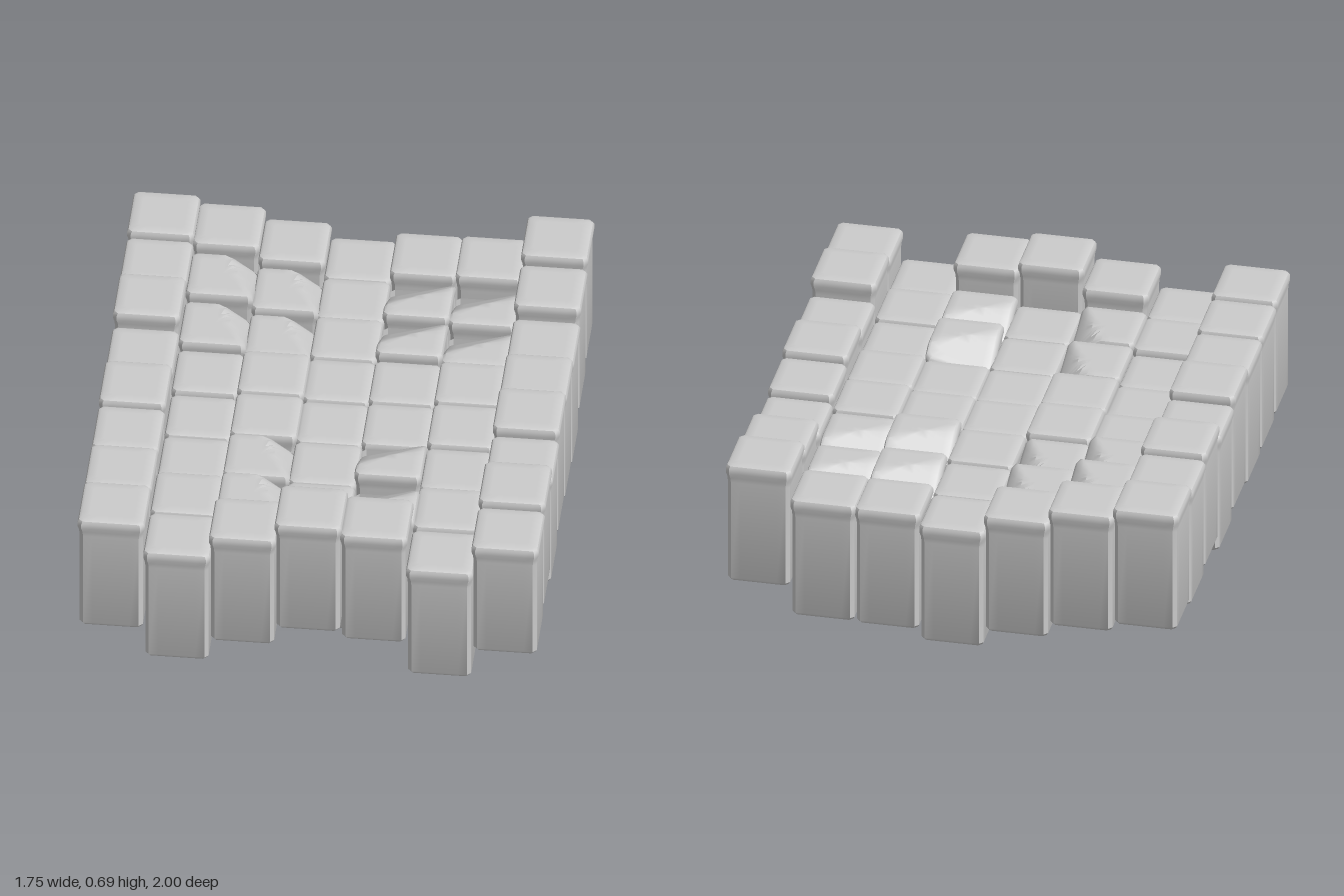
import * as THREE from 'three';
import { toCreasedNormals } from 'three/addons/utils/BufferGeometryUtils.js';

const PITCH = 0.249, HEIGHT = 0.5;

// top height of every block: rows run back to front, columns from -x to +x
const TOPS = [
  [0.69, 0.655, 0.60, 0.53, 0.575, 0.58, 0.70],
  [0.66, 0.61, 0.56, 0.53, 0.57, 0.55, 0.655],
  [0.685, 0.57, 0.53, 0.54, 0.58, 0.55, 0.59],
  [0.62, 0.53, 0.55, 0.53, 0.54, 0.56, 0.62],
  [0.655, 0.51, 0.54, 0.52, 0.53, 0.55, 0.65],
  [0.63, 0.505, 0.54, 0.52, 0.58, 0.53, 0.61],
  [0.64, 0.53, 0.55, 0.52, 0.56, 0.54, 0.685],
  [0.655, 0.525, 0.62, 0.70, 0.67, 0.525, 0.655],
];

// blocks whose top is cut by a sloping facet
const SLOPED = { 1: [1, 2, 4, 5], 2: [1, 2, 4, 5], 5: [2, 4], 6: [2, 4] };

// [half width, y below the top], from the open bottom up over the wider cap
const PROFILE = [
  [0.113, -HEIGHT], [0.12, -HEIGHT + 0.012], [0.12, -0.075], [0.122, -0.055],
  [0.127, -0.035], [0.127, -0.016], [0.122, -0.005], [0.113, 0],
  [0.085, 0], [0.055, 0], [0.025, 0], [0, 0],
];

// square outline with clipped corners and extra points along each side
function outline(half) {
  const pts = [], flat = half * 0.88;
  for (let side = 0; side < 4; side++) {
    const c = Math.round(Math.cos(side * Math.PI / 2));
    const s = Math.round(Math.sin(side * Math.PI / 2));
    for (let i = 0; i <= 6; i++) {
      const t = flat * (i / 3 - 1);
      pts.push([c * half - s * t, s * half + c * t]);
    }
  }
  return pts;
}

const noDrop = () => 0;
const dropLeft = (x, z) => 0.75 * Math.max(0, x - 0.4 * z - 0.06);
const dropRight = (x, z) => 0.6 * Math.max(0, -0.5 * x - z);

// open-bottomed block with a cap, its top at y = 0
function blockGeometry(drop) {
  const positions = [], indices = [];
  const n = outline(1).length;
  for (const [half, y] of PROFILE) {
    for (const [x, z] of outline(half)) {
      positions.push(x, y > -0.06 ? y - drop(x, z) : y, z);
    }
  }
  for (let r = 0; r < PROFILE.length - 1; r++) {
    for (let i = 0; i < n; i++) {
      const a = r * n + i, b = r * n + (i + 1) % n;
      indices.push(a, a + n, b);
      if (r < PROFILE.length - 2) indices.push(b, a + n, b + n);
    }
  }
  const geometry = new THREE.BufferGeometry();
  geometry.setAttribute('position', new THREE.Float32BufferAttribute(positions, 3));
  geometry.setIndex(indices);
  return toCreasedNormals(geometry, 0.6);
}

export function createModel() {
  const model = new THREE.Group();
  model.name = 'blockField';
  const material = new THREE.MeshStandardMaterial({ color: 0xcccccc, side: THREE.DoubleSide });
  const plain = blockGeometry(noDrop);
  const slopedLeft = blockGeometry(dropLeft);
  const slopedRight = blockGeometry(dropRight);

  TOPS.forEach((tops, row) => {
    const rowGroup = new THREE.Group();
    rowGroup.name = `blockRow${row + 1}`;
    tops.forEach((top, col) => {
      const sloped = SLOPED[row]?.includes(col);
      const geometry = !sloped ? plain : col < 3 ? slopedLeft : slopedRight;
      const block = new THREE.Mesh(geometry, material);
      block.name = sloped ? 'slopedBlock' : 'block';
      block.position.set((col - 3) * PITCH, top, (row - 3.5) * PITCH);
      rowGroup.add(block);
    });
    model.add(rowGroup);
  });
  return model;
}
